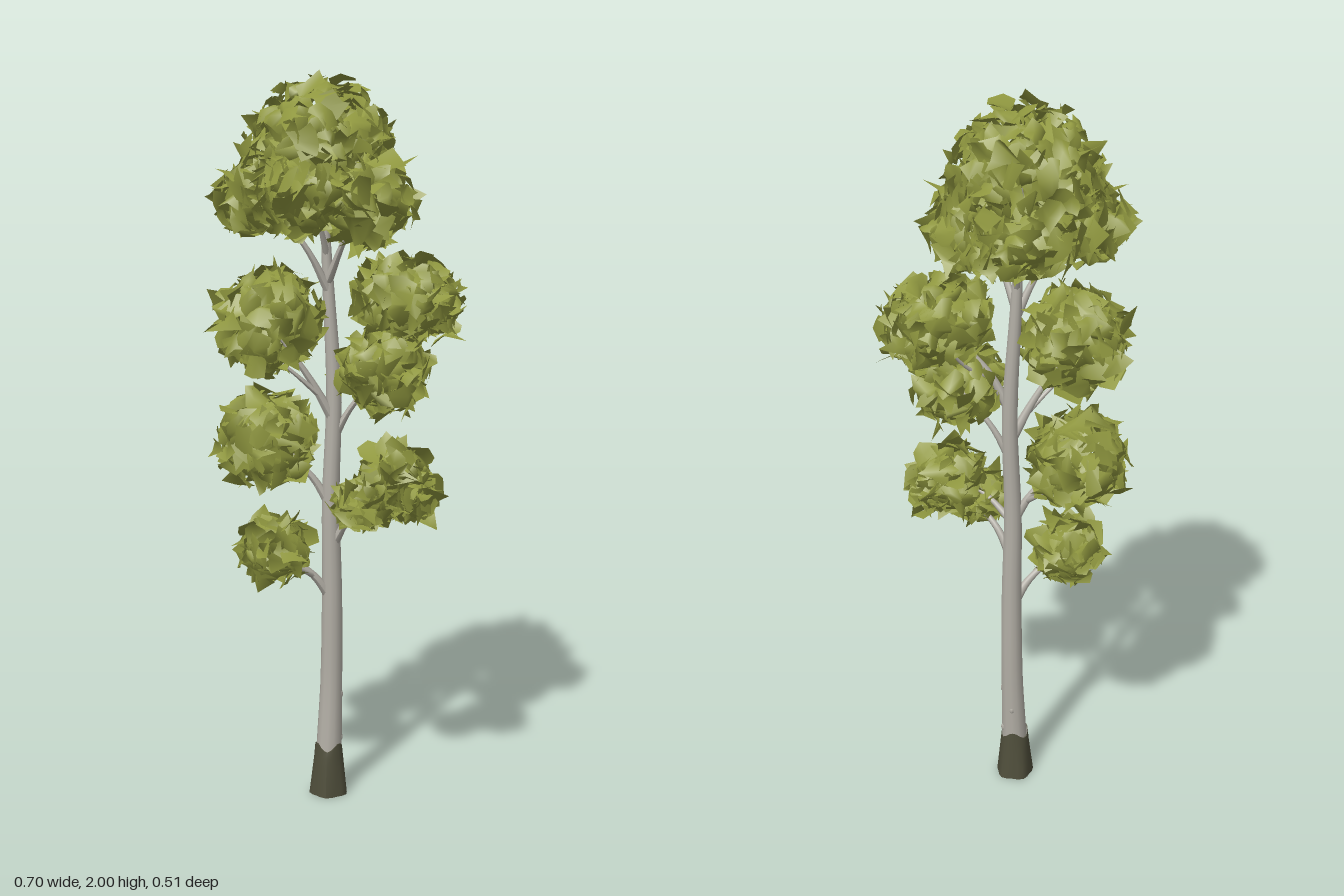
import * as THREE from 'three';
import { mergeGeometries } from 'three/addons/utils/BufferGeometryUtils.js';

const V = (x, y, z) => new THREE.Vector3(x, y, z);

// Small seeded random generator
let seed = 7;
function rnd() {
  seed = (seed * 1664525 + 1013904223) % 4294967296;
  return seed / 4294967296;
}
const range = (a, b) => a + (b - a) * rnd();
const rndVec = () => V(range(-1, 1), range(-1, 1), range(-1, 1));

// Tube along points whose radius follows a list of values
function taperedTube(points, radii, sides, segments) {
  const path = new THREE.CatmullRomCurve3(points.map((p) => V(...p)));
  const geo = new THREE.TubeGeometry(path, segments, 1, sides);
  const pos = geo.attributes.position;
  const v = V();
  for (let i = 0; i <= segments; i++) {
    const c = path.getPointAt(i / segments);
    const f = (i / segments) * (radii.length - 1);
    const k = Math.min(Math.floor(f), radii.length - 2);
    const r = THREE.MathUtils.lerp(radii[k], radii[k + 1], f - k);
    for (let j = 0; j <= sides; j++) {
      const n = i * (sides + 1) + j;
      v.fromBufferAttribute(pos, n).sub(c).multiplyScalar(r).add(c);
      pos.setXYZ(n, v.x, v.y, v.z);
    }
  }
  geo.computeVertexNormals();
  return geo;
}

// One crumpled leaf sheet: a 3 x 3 grid bent around its own normal
function leafSheet(center, outward) {
  const n = outward.clone().addScaledVector(rndVec(), 0.7).normalize();
  const t = rndVec().cross(n).normalize();
  const b = n.clone().cross(t);
  const sx = range(0.02, 0.042), sy = range(0.018, 0.034);
  const k1 = range(-0.7, 0.3), k2 = range(-0.7, 0.3), k3 = range(-0.8, 0.8);
  const geo = new THREE.PlaneGeometry(2, 2, 2, 2);
  const pos = geo.attributes.position;
  for (let i = 0; i < pos.count; i++) {
    const u = pos.getX(i) + range(-0.4, 0.4), w = pos.getY(i) + range(-0.4, 0.4);
    const p = center.clone().addScaledVector(t, u * sx).addScaledVector(b, w * sy)
      .addScaledVector(n, (k1 * u * u + k2 * w * w + k3 * u * w) * 0.026);
    pos.setXYZ(i, p.x, p.y, p.z);
  }
  geo.computeVertexNormals();
  return geo;
}

// Leaf sheets spread over the shells of one or more ellipsoid lobes,
// leaving out those buried deep inside a neighbouring lobe
function leafClump(lobes) {
  const sheets = [];
  for (const lobe of lobes) {
    const [x, y, z, rx, ry, rz] = lobe;
    const buried = (p) => lobes.some(([a, b, c, ra, rb, rc]) =>
      Math.hypot((p.x - a) / ra, (p.y - b) / rb, (p.z - c) / rc) < 0.6);
    const count = Math.round(40 + 5200 * (rx * ry + ry * rz + rz * rx) / 3);
    for (let i = 0; i < count; i++) {
      const h = 1 - (2 * (i + 0.5)) / count, a = i * 2.39996;
      const s = Math.sqrt(1 - h * h);
      const d = V(s * Math.cos(a), h, s * Math.sin(a));
      const r = range(0.78, 1);
      const c = V(x + d.x * rx * r, y + d.y * ry * r, z + d.z * rz * r);
      if (!buried(c)) sheets.push(leafSheet(c, d));
    }
  }
  return mergeGeometries(sheets);
}

export function createModel() {
  seed = 7;
  const tree = new THREE.Group();
  tree.name = 'tree';
  const bark = new THREE.MeshStandardMaterial({ name: 'pale bark', color: 0xb2aea5 });
  const darkBark = new THREE.MeshStandardMaterial({ name: 'dark base bark', color: 0x4f4e3b });
  const leaf = new THREE.MeshStandardMaterial({ name: 'olive leaves', color: 0x8f973f, side: THREE.DoubleSide });
  const add = (name, geo, mat) => {
    const mesh = new THREE.Mesh(geo, mat);
    mesh.name = name;
    tree.add(mesh);
    return mesh;
  };

  // Trunk
  add('trunk', taperedTube(
    [[-0.022, 0.1, -0.006], [-0.015, 0.35, -0.014], [-0.013, 0.6, -0.012], [-0.016, 0.85, -0.01],
      [-0.008, 1.15, -0.016], [-0.022, 1.42, -0.014], [-0.03, 1.6, -0.01], [-0.035, 1.82, 0]],
    [0.037, 0.031, 0.029, 0.026, 0.023, 0.021, 0.017, 0.012, 0.004], 12, 32), bark);

  // Flared base with root ridges and an uneven upper edge
  const base = new THREE.CylinderGeometry(0.038, 0.052, 0.14, 20, 5);
  const bp = base.attributes.position;
  for (let i = 0; i < bp.count; i++) {
    const x = bp.getX(i), z = bp.getZ(i), a = Math.atan2(z, x);
    const y = bp.getY(i) + 0.07, low = 1 - y / 0.14;
    const k = 1 + 0.07 * low * Math.sin(5 * a);
    const rim = y > 0.13 && Math.hypot(x, z) > 0.01 ? 0.012 * Math.sin(3 * a) : 0;
    bp.setXYZ(i, x * k - 0.022, y + rim, z * k - 0.006);
  }
  base.computeVertexNormals();
  add('trunkBase', base, darkBark);

  // Bark knots
  for (const [x, y, z] of [[0.01, 0.29, -0.014], [0.008, 0.16, -0.022], [-0.018, 0.23, -0.038]]) {
    const knot = add('knot', new THREE.SphereGeometry(0.008, 8, 6), bark);
    knot.position.set(x, y, z);
    knot.scale.y = 1.7;
  }

  // Branches: start, bend, tip, start radius
  const branches = [
    [[-0.018, 0.575, -0.01], [-0.06, 0.64, 0.015], [-0.15, 0.72, 0.055], 0.014],
    [[-0.06, 0.64, 0.015], [-0.09, 0.67, 0.06], [-0.13, 0.72, 0.1], 0.007],
    [[-0.012, 0.72, -0.01], [0.035, 0.8, 0.015], [0.12, 0.87, 0.06], 0.013],
    [[-0.012, 0.83, -0.01], [0.06, 0.89, 0.02], [0.17, 0.94, 0.05], 0.01],
    [[-0.015, 0.83, -0.01], [-0.07, 0.92, 0], [-0.18, 1.02, 0.03], 0.013],
    [[-0.05, 0.89, 0], [-0.1, 0.94, -0.05], [-0.18, 1.02, -0.08], 0.007],
    [[-0.012, 1.08, -0.012], [-0.07, 1.19, 0.015], [-0.17, 1.34, 0.05], 0.013],
    [[-0.05, 1.15, 0.01], [-0.12, 1.22, 0.05], [-0.22, 1.3, 0.08], 0.007],
    [[-0.01, 1.02, -0.012], [0.04, 1.11, -0.01], [0.13, 1.21, 0.01], 0.011],
    [[-0.01, 1.16, -0.012], [0.05, 1.27, -0.01], [0.18, 1.4, -0.01], 0.013],
    [[0.04, 1.25, -0.01], [0.1, 1.3, -0.06], [0.15, 1.38, -0.11], 0.007],
    [[-0.024, 1.43, -0.01], [-0.07, 1.53, 0.02], [-0.17, 1.67, 0.05], 0.011],
    [[-0.024, 1.45, -0.01], [0.02, 1.55, 0.03], [0.08, 1.68, 0.08], 0.011],
    [[-0.026, 1.5, -0.01], [-0.03, 1.57, -0.05], [-0.04, 1.7, -0.13], 0.009],
    [[-0.026, 1.52, -0.01], [-0.04, 1.62, 0.04], [-0.06, 1.76, 0.12], 0.008],
  ];
  for (const [a, b, c, r] of branches) {
    add('branch', taperedTube([a, b, c], [r * 1.2, r * 0.8, r * 0.6, r * 0.25], 7, 10), bark);
  }

  // Leaf clumps: lobes as centre and radii
  const clumps = {
    crownLeaves: [[-0.045, 1.79, -0.005, 0.2, 0.2, 0.23], [-0.2, 1.675, 0.04, 0.105, 0.095, 0.15],
      [0.085, 1.665, 0.03, 0.125, 0.12, 0.19], [-0.05, 1.68, -0.13, 0.15, 0.11, 0.1],
      [-0.06, 1.69, 0.15, 0.13, 0.11, 0.08]],
    upperRightLeaves: [[0.18, 1.41, -0.01, 0.14, 0.115, 0.175], [0.255, 1.39, 0, 0.075, 0.09, 0.12]],
    innerRightLeaves: [[0.135, 1.22, 0.03, 0.125, 0.115, 0.14]],
    upperLeftLeaves: [[-0.175, 1.35, 0.045, 0.145, 0.145, 0.16]],
    middleLeftLeaves: [[-0.19, 1.02, 0.005, 0.14, 0.13, 0.155]],
    lowerRightLeaves: [[0.165, 0.93, 0.05, 0.1, 0.095, 0.105], [0.09, 0.86, 0.08, 0.085, 0.06, 0.09],
      [0.21, 0.89, 0.06, 0.065, 0.075, 0.085]],
    lowestLeftLeaves: [[-0.16, 0.72, 0.055, 0.1, 0.085, 0.105]],
  };
  for (const [name, lobes] of Object.entries(clumps)) add(name, leafClump(lobes), leaf);

  return tree;
}
